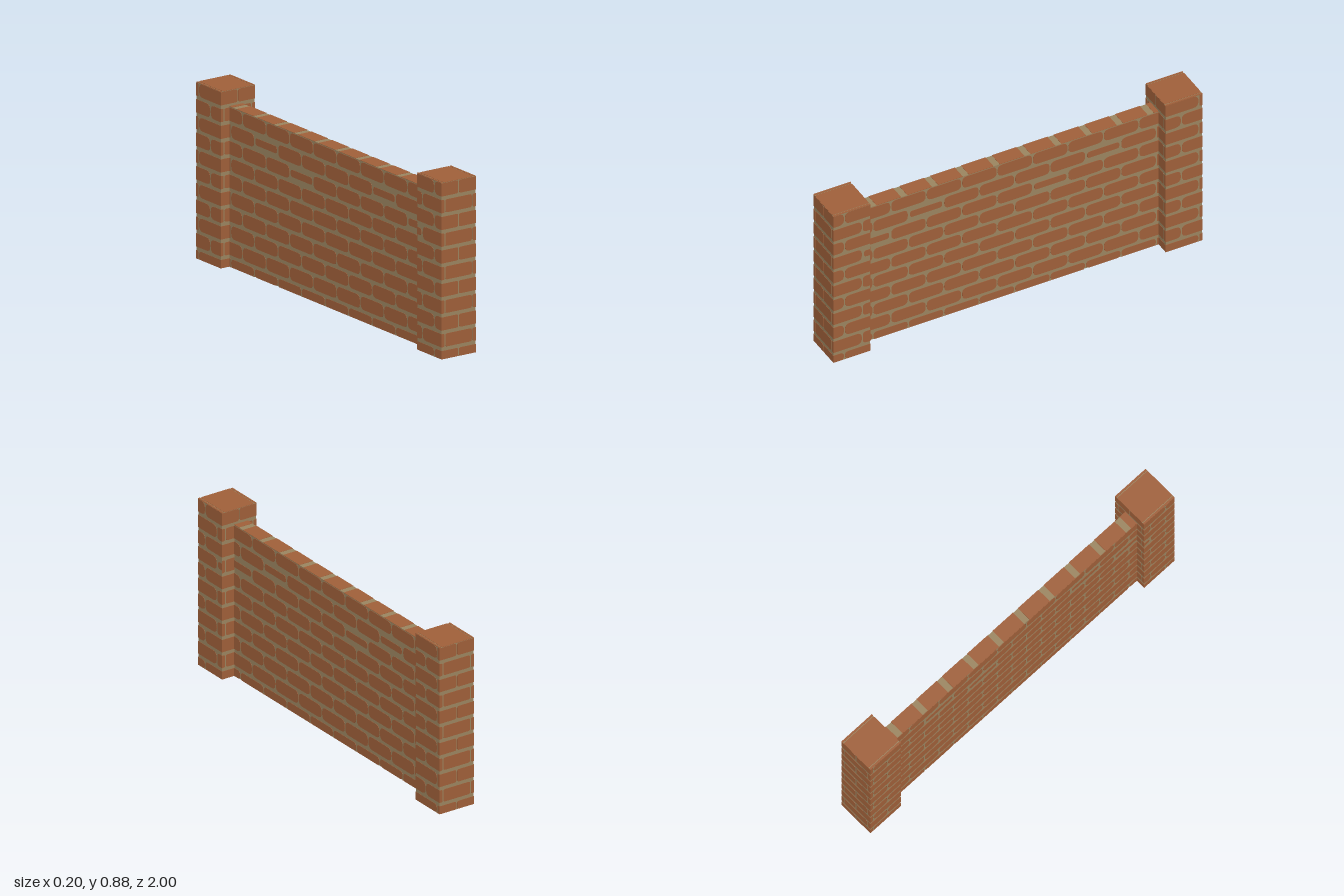
import * as THREE from 'three';
import { mergeGeometries } from 'three/addons/utils/BufferGeometryUtils.js';

const T = 0.0015;          // thickness of the brick faces
const PITCH = 0.0835;      // height of one course
const LENGTH = 0.192;      // length of one brick along the wall
const WALL = { x0: -0.05, x1: 0.03, top: 0.8, end: 0.8 };
const POST = { half: 0.1, top: 0.88, z: 0.9 };
const rowCentre = (i) => 0.009 + PITCH * i;

// Rounded brick outline, clipped to a rectangle; clipped ends stay square
function brick(list, u0, u1, v0, v1, r, clip) {
  const a = Math.max(u0, clip[0]), b = Math.min(u1, clip[1]);
  const c = Math.max(v0, clip[2]), d = Math.min(v1, clip[3]);
  if (b - a < 0.003 || d - c < 0.003) return;
  const cap = Math.min(r, (b - a) / 2.05, (d - c) / 2.05);
  const l = a > u0 ? 0.0001 : cap, q = b < u1 ? 0.0001 : cap;
  const s = new THREE.Shape();
  s.moveTo(a + l, c);
  s.lineTo(b - q, c);
  s.quadraticCurveTo(b, c, b, c + q);
  s.lineTo(b, d - q);
  s.quadraticCurveTo(b, d, b - q, d);
  s.lineTo(a + l, d);
  s.quadraticCurveTo(a, d, a, d - l);
  s.lineTo(a, c + l);
  s.quadraticCurveTo(a, c, a + l, c);
  list.push(new THREE.ExtrudeGeometry(s, { depth: T, bevelEnabled: false, curveSegments: 4 }));
}

// Running bond along z, laid out for a face looking towards side * x
function longFace(z0, z1, top, side) {
  const list = [];
  const flip = (z) => -side * z;
  const clip = [Math.min(flip(z0), flip(z1)), Math.max(flip(z0), flip(z1)), 0, top];
  for (let i = 0; i <= 10; i++) {
    const start = i % 2 ? 0.075 : -0.02;
    for (let k = -7; k <= 7; k++) {
      const mid = start + (k + 0.5) * LENGTH;
      // a few worn bricks repeat every fifth brick
      const worn = (i === 8 && (k === 2 || k === -3)) || (i === 7 && (k === 3 || k === -2));
      const hu = LENGTH / 2 - (worn ? 0.009 : 0.003), hv = worn ? 0.018 : 0.033;
      const u = flip(mid), v = rowCentre(i);
      brick(list, u - hu, u + hu, v - hv, v + hv, worn ? 0.015 : 0.028, clip);
    }
  }
  return mergeGeometries(list);
}

// Post end: courses alternate between two halves and one brick with slivers
function endFace() {
  const list = [], w = POST.half, clip = [-w, w, 0, POST.top];
  for (let i = 0; i <= 10; i++) {
    const v = rowCentre(i);
    const spans = i % 2 ? [[-0.2, -0.083], [-0.077, 0.077], [0.083, 0.2]] : [[-0.2, -0.003], [0.003, 0.2]];
    for (const [a, b] of spans) brick(list, a, b, v - 0.0325, v + 0.0325, 0.01, clip);
  }
  return mergeGeometries(list);
}

// Bricks laid across the top and underside of the wall
function copingFace() {
  const list = [], clip = [WALL.x0, WALL.x1, -WALL.end, WALL.end];
  for (let k = -6; k <= 5; k++) {
    const a = 0.09 + 0.167 * k;
    brick(list, -0.2, 0.2, a + 0.0165, a + 0.15, 0.01, clip);
  }
  return mergeGeometries(list);
}

// Cap of a post: one broad slab with a narrow strip at each side
function capFace() {
  const list = [], w = POST.half, clip = [-w, w, -w, w];
  for (const [a, b] of [[-0.2, -0.09], [-0.086, 0.086], [0.09, 0.2]]) brick(list, a, b, -0.2, 0.2, 0.01, clip);
  return mergeGeometries(list);
}

export function createModel() {
  const model = new THREE.Group();
  model.name = 'brickWall';
  const brickRed = new THREE.MeshStandardMaterial({ color: 0xa0603a });
  brickRed.name = 'brickRed';
  const mortar = new THREE.MeshStandardMaterial({ color: 0x9b8560 });
  mortar.name = 'mortar';

  const add = (parent, name, geometry, material, pos, rot = [0, 0, 0]) => {
    const m = new THREE.Mesh(geometry, material);
    m.name = name;
    m.position.set(...pos);
    m.rotation.set(...rot);
    parent.add(m);
  };
  const q = Math.PI / 2;

  // Wall panel
  const wall = new THREE.Group();
  wall.name = 'wallPanel';
  model.add(wall);
  const width = WALL.x1 - WALL.x0;
  add(wall, 'wallMortar', new THREE.BoxGeometry(width - 2 * T, WALL.top - 2 * T, WALL.end * 2),
    mortar, [(WALL.x0 + WALL.x1) / 2, WALL.top / 2, 0]);
  for (const side of [1, -1]) {
    add(wall, 'wallBricks', longFace(-WALL.end, WALL.end, WALL.top, side), brickRed,
      [side > 0 ? WALL.x1 - T : WALL.x0 + T, 0, 0], [0, side * q, 0]);
  }
  add(wall, 'wallTopBricks', copingFace(), brickRed, [0, WALL.top - T, 0], [-q, 0, 0]);
  add(wall, 'wallUndersideBricks', copingFace(), brickRed, [0, T, 0], [q, 0, 0]);

  // Posts at both ends
  for (const end of [1, -1]) {
    const post = new THREE.Group();
    post.name = end > 0 ? 'frontPost' : 'backPost';
    model.add(post);
    const z = end * POST.z, w = POST.half;
    add(post, 'postMortar', new THREE.BoxGeometry(2 * w - 2 * T, POST.top - 2 * T, 2 * w - 2 * T),
      mortar, [0, POST.top / 2, z]);
    for (const side of [1, -1]) {
      add(post, 'postSideBricks', longFace(z - w, z + w, POST.top, side), brickRed,
        [side * (w - T), 0, 0], [0, side * q, 0]);
      add(post, 'postEndBricks', endFace(), brickRed,
        [0, 0, z + side * (w - T)], [0, side > 0 ? 0 : Math.PI, 0]);
    }
    add(post, 'postCap', capFace(), brickRed, [0, POST.top - T, z], [-q, 0, 0]);
    add(post, 'postUnderside', capFace(), brickRed, [0, T, z], [q, 0, 0]);
  }
  return model;
}
